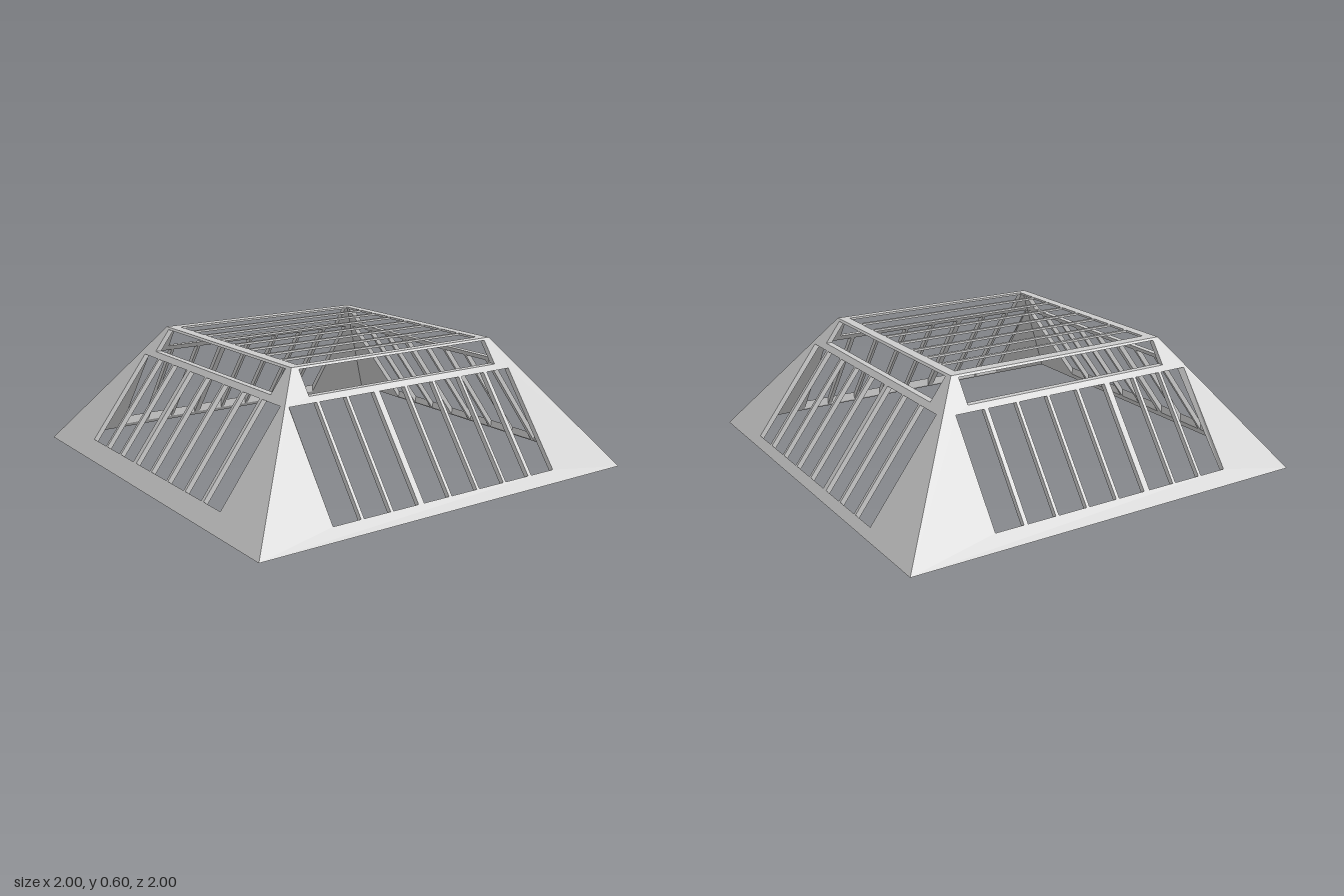
import * as THREE from 'three';

const TOP = 0.6, HALF_TOP = 0.555;
const SLOPE = (1 - HALF_TOP) / TOP; // inward run per unit of height
const WALL = 0.03;                  // horizontal wall thickness
const LINTEL = 0.465;

const material = new THREE.MeshStandardMaterial({ color: 0xcccccc, flatShading: true, side: THREE.DoubleSide });

// Glazing bars as [centre, width]
const wallBars = [[-0.46, 0.015], [-0.31, 0.015], [-0.155, 0.03], [0.005, 0.016],
  [0.163, 0.015], [0.32, 0.015], [0.475, 0.02]];
const roofBars = [-0.38, -0.26, -0.13, 0.005, 0.135, 0.265, 0.395].map((x) => [x, 0.015]);

// Openings left between the bars, as [from, to]
function panes(from, to, bars) {
  const list = [];
  let start = from;
  for (const [centre, width] of bars) {
    list.push([start, centre - width / 2]);
    start = centre + width / 2;
  }
  list.push([start, to]);
  return list;
}

function rectangle(x0, x1, y0, y1) {
  return new THREE.Path([[x0, y0], [x0, y1], [x1, y1], [x1, y0]].map(([x, y]) => new THREE.Vector2(x, y)));
}

// Sloping trapezoid wall, flat shape extruded and then leaned inward
function wallGeometry(sill, mirror, shift) {
  const shape = new THREE.Shape([[-1, 0], [1, 0], [HALF_TOP, TOP], [-HALF_TOP, TOP]]
    .map(([x, y]) => new THREE.Vector2(x, y)));
  for (const [a, b] of panes(-0.605, 0.622, wallBars)) {
    const ends = [mirror * (a + shift), mirror * (b + shift)].sort((p, q) => p - q);
    shape.holes.push(rectangle(ends[0], ends[1], sill, LINTEL));
  }
  shape.holes.push(rectangle(-0.523, 0.521, 0.49, 0.59));

  const geometry = new THREE.ExtrudeGeometry(shape, { depth: 1, bevelEnabled: false });
  const pos = geometry.attributes.position;
  for (let i = 0; i < pos.count; i++) {
    let x = pos.getX(i), y = pos.getY(i);
    const inner = pos.getZ(i) < 0.5;
    if (inner) {
      const edge = 1 - SLOPE * y;
      if (Math.abs(x) > edge - 1e-4) {
        x -= Math.sign(x) * WALL; // mitred corner
      } else {
        const limit = edge - WALL - 0.008;
        x = THREE.MathUtils.clamp(x, -limit, limit);
        // sill is cut plumb
        if (Math.abs(y - sill) < 1e-4) y = Math.max(0.005, sill - WALL / SLOPE);
      }
    }
    pos.setXYZ(i, x, y, 1 - SLOPE * y - (inner ? WALL : 0));
  }
  geometry.computeVertexNormals();
  return geometry;
}

// Flat roof frame with long slots between its bars
function roofGeometry() {
  const h = HALF_TOP - WALL;
  const shape = new THREE.Shape([[-h, -h], [h, -h], [h, h], [-h, h]].map(([x, y]) => new THREE.Vector2(x, y)));
  for (const [a, b] of panes(-0.505, 0.518, roofBars)) shape.holes.push(rectangle(a, b, -0.505, 0.508));
  const geometry = new THREE.ExtrudeGeometry(shape, { depth: 0.01, bevelEnabled: false });
  geometry.rotateX(-Math.PI / 2);
  geometry.translate(0, TOP - 0.01, 0);
  return geometry;
}

export function createModel() {
  const model = new THREE.Group();
  model.name = 'slopedGlazedRoof';
  const add = (name, geometry, turn = 0) => {
    const mesh = new THREE.Mesh(geometry, material);
    mesh.name = name;
    mesh.rotation.y = turn;
    model.add(mesh);
  };

  // Four leaning walls
  add('frontWall', wallGeometry(0.075, 1, 0));
  add('backWall', wallGeometry(0.04, -1, 0), Math.PI);
  add('leftWall', wallGeometry(0.05, 1, -0.03), Math.PI / 2);
  add('rightWall', wallGeometry(0.06, -1, -0.03), -Math.PI / 2);

  // Top frame
  add('roofFrame', roofGeometry());
  return model;
}
